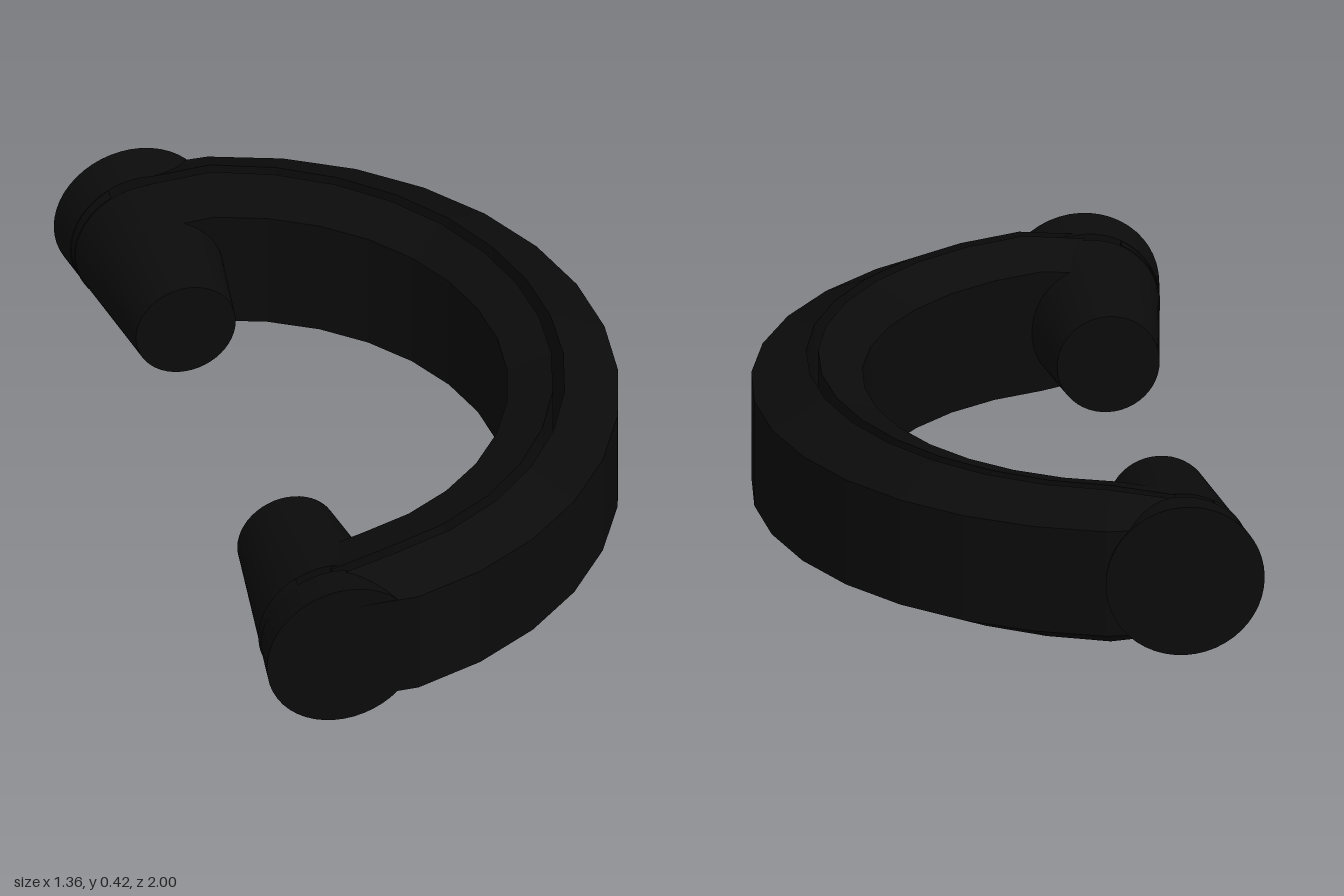
import * as THREE from 'three';

const black = new THREE.MeshStandardMaterial({ color: 0x0b0b0b });
black.name = 'matte black';

const MID = 0.21;              // height of the middle plane
const CX = -0.32;              // centre of the arc
const STEP = 11 * Math.PI / 180;

// Lofts closed four-cornered sections into a faceted solid
function loft(sections) {
  const pos = [];
  const tri = (a, b, c) => pos.push(...a, ...b, ...c);
  for (let i = 0; i < sections.length - 1; i++) {
    const p = sections[i], q = sections[i + 1];
    for (let k = 0; k < 4; k++) {
      const n = (k + 1) % 4;
      tri(p[k], p[n], q[k]);
      tri(p[n], q[n], q[k]);
    }
  }
  const s = sections[0], e = sections[sections.length - 1];
  tri(s[0], s[2], s[1]); tri(s[0], s[3], s[2]);
  tri(e[0], e[1], e[2]); tri(e[0], e[2], e[3]);
  const g = new THREE.BufferGeometry();
  g.setAttribute('position', new THREE.Float32BufferAttribute(pos, 3));
  g.computeVertexNormals();
  return g;
}

// One half of the split arc; profile gives radii and half heights per station
function arc(name, profile) {
  const sections = [];
  for (let i = -7; i <= 9; i++) {
    const t = i * STEP, c = Math.cos(t), s = Math.sin(t);
    const { r0, h0, r1, h1 } = profile(i, s);
    const at = (r, y) => [CX + r * c, MID + y, r * s];
    sections.push([at(r1, -h1), at(r1, h1), at(r0, h0), at(r0, -h0)]);
  }
  const mesh = new THREE.Mesh(loft(sections), black);
  mesh.name = name;
  return mesh;
}

// The arc flattens where it enters the tapered ends
const squash = i => (i === -7 || i === 9 ? 0.88 : 1);
const slot = s => 0.855 + 0.028 * s * s;

// Tapered round end, split by the slot and bridged on its closed side
function taperedEnd(name, centre, axis) {
  const R0 = 0.205, R1 = 0.1325, L = 0.515, S0 = 0.105, S1 = 0.135;
  const radius = t => R0 + (R1 - R0) * t / L;
  const end = new THREE.Group();
  end.name = name;
  const add = (part, geometry) => {
    const mesh = new THREE.Mesh(geometry, black);
    mesh.name = part;
    end.add(mesh);
  };
  const frustum = (a, b) => new THREE.CylinderGeometry(radius(b), radius(a), b - a, 48)
    .translate(0, (a + b) / 2, 0);
  add('outerCap', frustum(0, S0));
  add('innerCone', frustum(S1, L));

  const r = radius((S0 + S1) / 2), alpha = Math.acos(-0.09 / r);
  const segment = new THREE.Shape();
  segment.absarc(0, 0, r, alpha, 2 * Math.PI - alpha, false);
  add('slotBridge', new THREE.ExtrudeGeometry(segment,
    { depth: S1 - S0, bevelEnabled: false, curveSegments: 20 })
    .rotateX(-Math.PI / 2).translate(0, S0, 0));

  // Local y runs inward along the taper, local x along the slot
  const y = new THREE.Vector3(axis[0], 0, axis[1]).normalize();
  const x = new THREE.Vector3(Math.abs(y.z), 0, -y.x * Math.sign(y.z));
  const z = new THREE.Vector3().crossVectors(x, y);
  end.quaternion.setFromRotationMatrix(new THREE.Matrix4().makeBasis(x, y, z));
  end.position.set(centre[0], MID, centre[1]);
  return end;
}

export function createModel() {
  const model = new THREE.Group();
  model.name = 'splitArc';

  model.add(arc('outerArc', (i, s) => ({
    r0: slot(s), h0: 0.21 * squash(i),
    r1: i === -7 ? 0.982 : i === 9 ? 0.973 : 1.0, h1: 0.145,
  })));
  model.add(arc('innerArc', (i, s) => ({
    r0: 0.715, h0: 0.165 * squash(i),
    r1: slot(s) - 0.03, h1: 0.21 * squash(i),
  })));

  model.add(taperedEnd('backEnd', [-0.11, -0.96], [-0.195, 0.98]));
  model.add(taperedEnd('frontEnd', [-0.48, 0.96], [0.185, -0.98]));
  return model;
}
